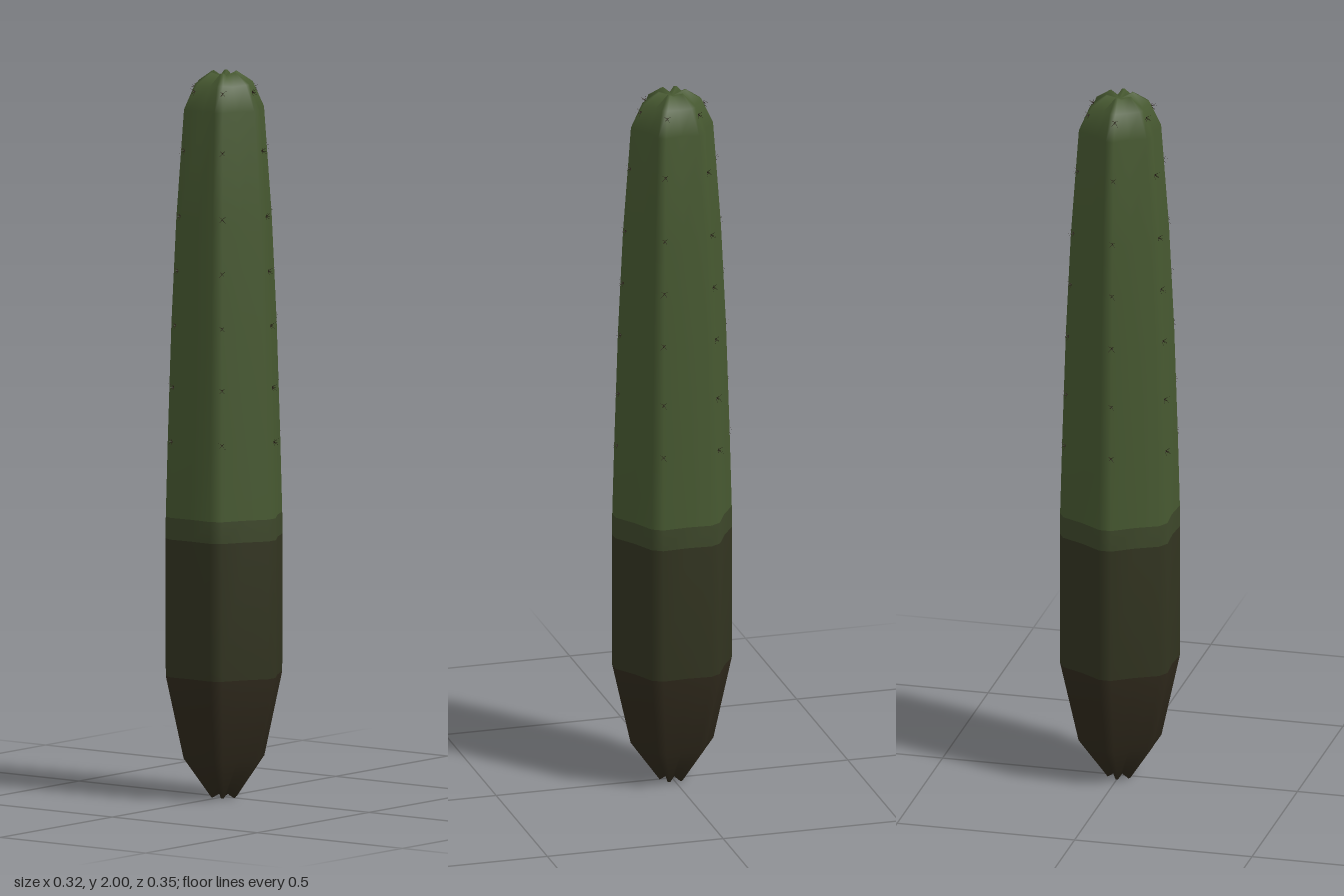
import * as THREE from 'three';
import { mergeGeometries } from 'three/addons/utils/BufferGeometryUtils.js';

const RIBS = 6;
const PER_RING = RIBS * 3;

// Stem rings: height, ridge radius, valley radius / ridge radius, valley height offset
const RINGS = [
  [0, 0.036, 0.6, 0.012], [0.11, 0.115, 0.83, 0], [0.34, 0.166, 0.885, 0],
  [0.72, 0.167, 0.885, 0], [0.78, 0.166, 0.885, 0], [1.0, 0.16, 0.88, 0],
  [1.31, 0.15, 0.87, 0], [1.6, 0.136, 0.86, 0], [1.9, 0.114, 0.83, 0],
  [1.97, 0.082, 0.78, -0.005], [2.0, 0.038, 0.6, -0.012],
];

function ridgeRadius(y) {
  for (let i = 1; i < RINGS.length; i++) {
    const [y0, r0] = RINGS[i - 1], [y1, r1] = RINGS[i];
    if (y <= y1) return r0 + (r1 - r0) * (y - y0) / (y1 - y0);
  }
  return RINGS[RINGS.length - 1][1];
}

// Six ribs, each with a narrow flat ridge (two points) and one valley point
function stemGeometry() {
  const pos = [], index = [];
  for (const [y, r, valley, drop] of RINGS) {
    for (let k = 0; k < RIBS; k++) {
      const a = Math.PI / 2 + k * Math.PI / 3;
      for (const [da, s, dy] of [[-0.099, 1, 0], [0.099, 1, 0], [Math.PI / 6, valley, drop]]) {
        pos.push(Math.cos(a + da) * r * s, y + dy, Math.sin(a + da) * r * s);
      }
    }
  }
  const bottom = pos.length / 3, top = bottom + 1;
  pos.push(0, 0.015, 0, 0, 1.985, 0);
  const last = (RINGS.length - 1) * PER_RING;
  for (let j = 0; j < PER_RING; j++) index.push(bottom, j, (j + 1) % PER_RING);
  for (let i = 0; i < RINGS.length - 1; i++) {
    for (let j = 0; j < PER_RING; j++) {
      const a = i * PER_RING + j, b = i * PER_RING + (j + 1) % PER_RING;
      const c = a + PER_RING, d = b + PER_RING;
      index.push(a, c, b, b, c, d);
    }
  }
  for (let j = 0; j < PER_RING; j++) index.push(top, last + (j + 1) % PER_RING, last + j);
  const geo = new THREE.BufferGeometry();
  geo.setAttribute('position', new THREE.Float32BufferAttribute(pos, 3));
  geo.setIndex(index);
  geo.computeVertexNormals();
  return geo;
}

// A star of thin spines that leans out along +z
function spineCluster() {
  const spines = [];
  for (let i = 0; i < 5; i++) {
    const a = Math.PI / 4 + i * Math.PI / 2;
    const dir = i < 4
      ? new THREE.Vector3(Math.cos(a), Math.sin(a), 0.8).normalize()
      : new THREE.Vector3(0, 0, 1);
    const g = new THREE.ConeGeometry(0.0013, 0.02, 3);
    g.translate(0, 0.008, 0);
    g.applyQuaternion(new THREE.Quaternion().setFromUnitVectors(new THREE.Vector3(0, 1, 0), dir));
    spines.push(g);
  }
  return mergeGeometries(spines);
}

export function createModel() {
  const group = new THREE.Group();
  group.name = 'cactus';

  // Stem, cut into colour bands that share smooth normals
  const stem = stemGeometry();
  const all = Array.from(stem.index.array);
  const cut = (rings) => PER_RING * 3 + rings * PER_RING * 6;
  const bands = [
    ['stemFoot', 0x2e281b, 0, cut(2)],
    ['lowerStem', 0x333521, cut(2), cut(3)],
    ['stemTransition', 0x3d472a, cut(3), cut(4)],
    ['upperStem', 0x475931, cut(4), all.length],
  ];
  for (const [name, color, from, to] of bands) {
    const geo = new THREE.BufferGeometry();
    geo.setAttribute('position', stem.attributes.position);
    geo.setAttribute('normal', stem.attributes.normal);
    geo.setIndex(all.slice(from, to));
    const mesh = new THREE.Mesh(geo, new THREE.MeshStandardMaterial({ color }));
    mesh.name = name;
    group.add(mesh);
  }

  // Spine clusters up one edge of every ridge
  const cluster = spineCluster();
  const placed = [];
  for (const y of [0.99, 1.14, 1.31, 1.46, 1.61, 1.79, 1.95]) {
    for (let k = 0; k < RIBS; k++) {
      const g = cluster.clone();
      g.translate(0, y, ridgeRadius(y) - 0.001);
      g.rotateY(0.099 + k * Math.PI / 3);
      placed.push(g);
    }
  }
  const spines = new THREE.Mesh(mergeGeometries(placed), new THREE.MeshStandardMaterial({ color: 0x2b2118 }));
  spines.name = 'spines';
  group.add(spines);

  return group;
}
